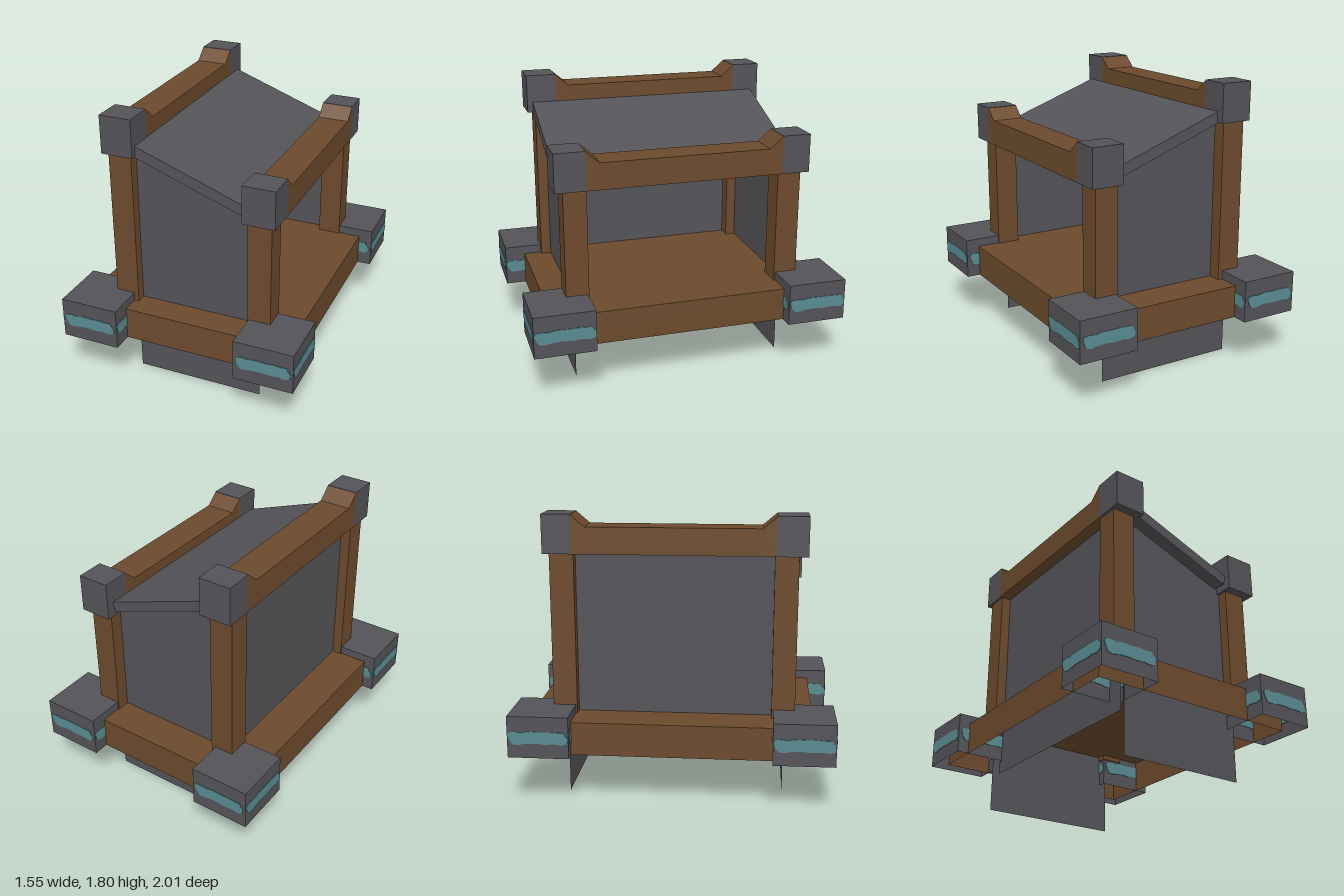
import * as THREE from 'three';

const mat = (name, color) => {
  const m = new THREE.MeshStandardMaterial({ color, side: THREE.DoubleSide });
  m.name = name;
  return m;
};

export function createModel() {
  const root = new THREE.Group();
  root.name = 'shelter';
  const wood = mat('brown wood', 0x6c4a2c);
  const stone = mat('grey stone', 0x545358);
  const teal = mat('teal inlay', 0x588c92);

  const add = (name, geometry, material, parent = root) => {
    const mesh = new THREE.Mesh(geometry, material);
    mesh.name = name;
    parent.add(mesh);
    return mesh;
  };

  // Box given by its minimum and maximum on each axis, optionally open below
  const box = (name, [x0, x1], [y0, y1], [z0, z1], material, open = false) => {
    const g = new THREE.BoxGeometry(x1 - x0, y1 - y0, z1 - z0);
    if (open) {
      const index = Array.from(g.index.array);
      index.splice(18, 6);
      g.setIndex(index);
      g.clearGroups();
    }
    g.translate((x0 + x1) / 2, (y0 + y1) / 2, (z0 + z1) / 2);
    return add(name, g, material);
  };

  const polygon = (points) => new THREE.Shape(points.map(([x, y]) => new THREE.Vector2(x, y)));
  const slab = (points, depth) =>
    new THREE.ExtrudeGeometry(polygon(points), { depth, bevelEnabled: false });

  // Base platform, open underneath
  box('basePlatform', [-0.70, 0.68], [0.33, 0.54], [-0.90, 0.87], wood, true);

  // Ragged inlay outline, one unit wide and centred
  const blotch = [
    [-0.50, 0.020], [-0.47, 0.037], [-0.36, 0.040], [-0.27, 0.034], [-0.16, 0.043],
    [0.05, 0.040], [0.18, 0.043], [0.34, 0.039], [0.43, 0.041], [0.46, 0.020],
    [0.50, 0.004], [0.49, -0.030], [0.40, -0.041], [0.28, -0.034], [0.12, -0.038],
    [-0.06, -0.033], [-0.22, -0.036], [-0.33, -0.044], [-0.42, -0.040], [-0.46, -0.020],
  ];
  const inlay = (width) => {
    const g = slab(blotch.map(([x, y]) => [x * width, y]), 0.008);
    return g.translate(0, 0, -0.004);
  };
  const endInlay = inlay(0.345);
  const sideInlay = inlay(0.374);

  // Corner blocks, open underneath, with an inlay on each side
  for (const [x0, x1] of [[-0.775, -0.395], [0.39, 0.77]]) {
    for (const [z0, z1] of [[-1, -0.62], [0.62, 1]]) {
      box('cornerBlock', [x0, x1], [0.33, 0.595], [z0, z1], stone, true);
      const cx = (x0 + x1) / 2, cz = (z0 + z1) / 2;
      for (let i = 0; i < 4; i++) {
        const a = i * Math.PI / 2;
        const m = add('blockInlay', i % 2 ? sideInlay : endInlay, teal);
        m.rotation.y = a;
        m.position.set(cx + Math.sin(a) * 0.19, 0.458, cz + Math.cos(a) * 0.19);
      }
    }
  }

  // Two post frames: a tall one and a low one
  const frames = [
    { post: [-0.515, -0.365], beam: [-0.53, -0.325], y: 1.555 },
    { post: [0.38, 0.53], beam: [0.365, 0.57], y: 1.27 },
  ];
  for (const { post, beam, y } of frames) {
    for (const z of [[-0.76, -0.61], [0.61, 0.755]]) box('post', post, [0.51, y], z, wood);
    for (const z of [[-0.80, -0.62], [0.62, 0.81]]) box('postCap', beam, [y, y + 0.242], z, stone);
    // Beam with raised ends
    const g = slab([
      [-0.62, 0], [0.62, 0], [0.62, 0.24], [0.535, 0.167], [-0.535, 0.167], [-0.62, 0.24],
    ], beam[1] - beam[0]);
    g.rotateY(Math.PI / 2).translate(beam[0], y, 0);
    add('topBeam', g, wood);
  }

  // Sloping roof slab
  add('roof', slab([[-0.36, 1.56], [0.348, 1.303], [0.37, 1.367], [-0.337, 1.625]], 1.525)
    .translate(0, 0, -0.75), stone);

  // Thin end walls, running below the platform
  const roofLine = (x) => 1.575 - 0.363 * (x + 0.36);
  for (const [name, left, z] of [['frontWall', -0.40, 0.69], ['backWall', -0.483, -0.675]]) {
    const g = new THREE.ShapeGeometry(polygon([
      [left, 0], [0.44, 0], [0.44, 1.275], [0.38, roofLine(0.38)],
      [-0.36, roofLine(-0.36)], [left, 1.56],
    ]));
    add(name, g.translate(0, 0, z), stone);
  }

  // Thin side wall under the tall beam; the other side stays open
  const side = new THREE.PlaneGeometry(1.37, 1.315);
  side.rotateY(-Math.PI / 2).translate(-0.45, 0.9025, 0.045);
  add('sideWall', side, stone);

  return root;
}
